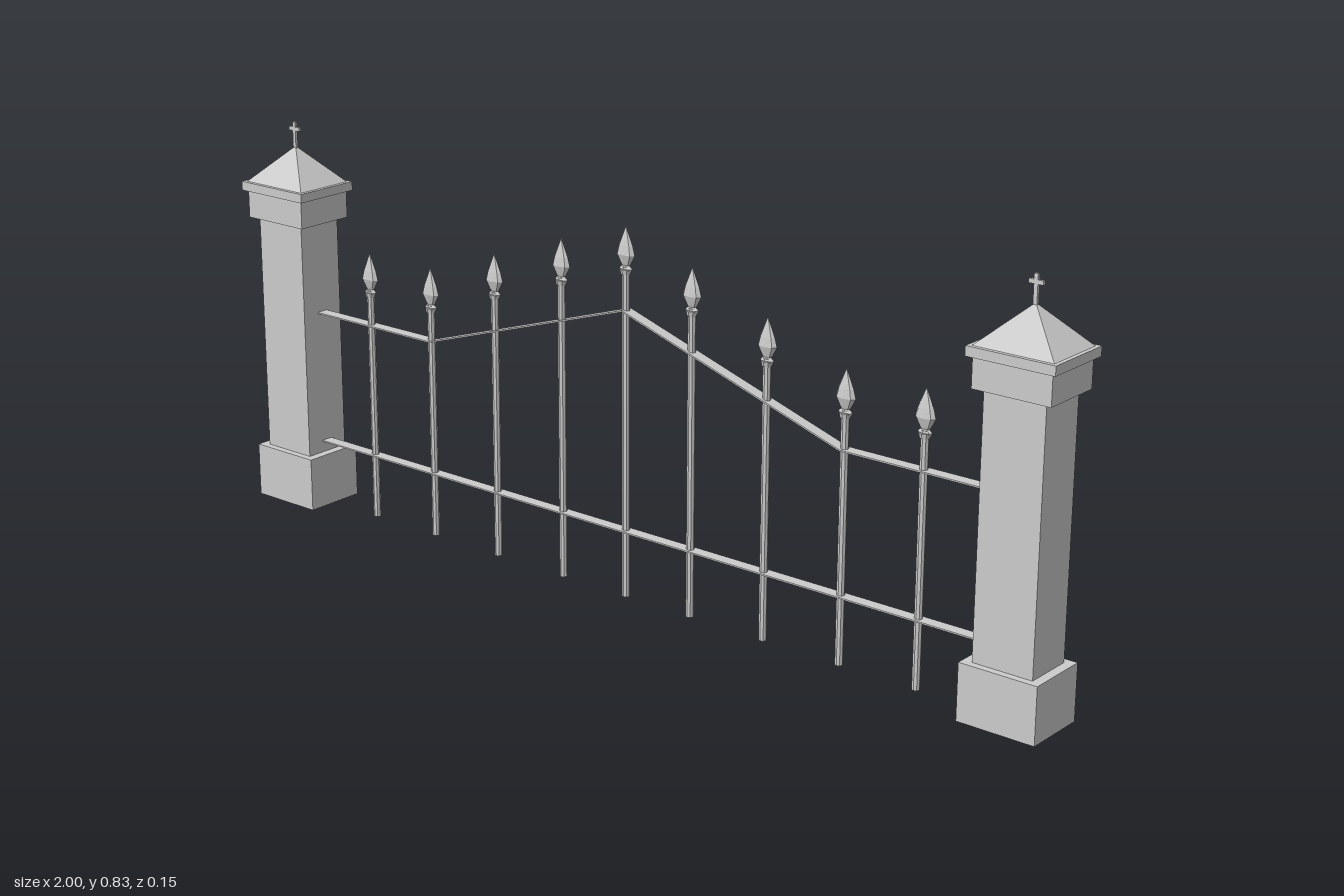
import * as THREE from 'three';

const material = new THREE.MeshStandardMaterial({ color: 0xcccccc, flatShading: true });

function add(parent, name, geometry, x = 0, y = 0, z = 0) {
  const mesh = new THREE.Mesh(geometry, material);
  mesh.name = name;
  mesh.position.set(x, y, z);
  parent.add(mesh);
  return mesh;
}

// Box given by its bottom and top heights
function block(parent, name, width, depth, bottom, top) {
  return add(parent, name, new THREE.BoxGeometry(width, top - bottom, depth), 0, (bottom + top) / 2);
}

function createPillar(x) {
  const pillar = new THREE.Group();
  pillar.name = x > 0 ? 'leftPillar' : 'rightPillar';
  pillar.position.x = x;
  block(pillar, 'pillarBase', 0.164, 0.135, 0, 0.115);
  block(pillar, 'pillarShaft', 0.126, 0.105, 0.115, 0.627);
  block(pillar, 'pillarCap', 0.16, 0.132, 0.627, 0.686);
  block(pillar, 'capSlab', 0.18, 0.149, 0.686, 0.705);

  // Pyramid roof
  const roof = new THREE.ConeGeometry(Math.SQRT1_2, 0.077, 4, 1);
  roof.rotateY(Math.PI / 4).scale(0.164, 1, 0.133);
  add(pillar, 'pyramidRoof', roof, 0, 0.7435);

  // Finial cross
  block(pillar, 'crossPost', 0.008, 0.006, 0.772, 0.834);
  block(pillar, 'crossArm', 0.03, 0.006, 0.815, 0.823);
  return pillar;
}

function createBar(x, tip) {
  const bar = new THREE.Group();
  bar.name = 'fenceBar';
  bar.position.x = x;
  const shaftTop = tip - 0.08;
  add(bar, 'barShaft', new THREE.CylinderGeometry(0.008, 0.008, shaftTop, 8), 0, shaftTop / 2);

  // Collar and flattened spearhead
  const profile = [[0, -0.096], [0.01, -0.094], [0.016, -0.084], [0.009, -0.078],
    [0.012, -0.074], [0.022, -0.056], [0.017, -0.038], [0, 0]];
  const head = new THREE.LatheGeometry(profile.map(([r, y]) => new THREE.Vector2(r, y)), 8);
  head.scale(1, 1, 0.5);
  add(bar, 'spearhead', head, 0, tip);

  // Ring under the spearhead
  add(bar, 'barCollar', new THREE.CylinderGeometry(0.012, 0.01, 0.01, 8), 0, tip - 0.09);
  return bar;
}

// Flat strip between two points in the plane of the fence
function createRail(parent, name, [x0, y0], [x1, y1]) {
  const length = Math.hypot(x1 - x0, y1 - y0);
  const rail = add(parent, name, new THREE.BoxGeometry(length, 0.003, 0.026), (x0 + x1) / 2, (y0 + y1) / 2);
  rail.rotation.z = Math.atan2(y1 - y0, x1 - x0);
}

export function createModel() {
  const model = new THREE.Group();
  model.name = 'gatedFence';
  for (const side of [-1, 1]) model.add(createPillar(side * 0.91));

  // Bars, rising to the middle
  const bars = [[-0.698, 0.585], [-0.523, 0.585], [-0.344, 0.647], [-0.165, 0.71], [0, 0.762],
    [0.163, 0.71], [0.342, 0.647], [0.522, 0.585], [0.696, 0.585]];
  for (const [x, tip] of bars) model.add(createBar(x, tip));

  // Rails
  createRail(model, 'lowerRail', [-0.85, 0.14], [0.85, 0.14]);
  const path = [[-0.85, 0.429], [-0.52, 0.429], [0, 0.595], [0.52, 0.429], [0.85, 0.429]];
  for (let i = 0; i < path.length - 1; i++) createRail(model, 'upperRail', path[i], path[i + 1]);
  return model;
}
